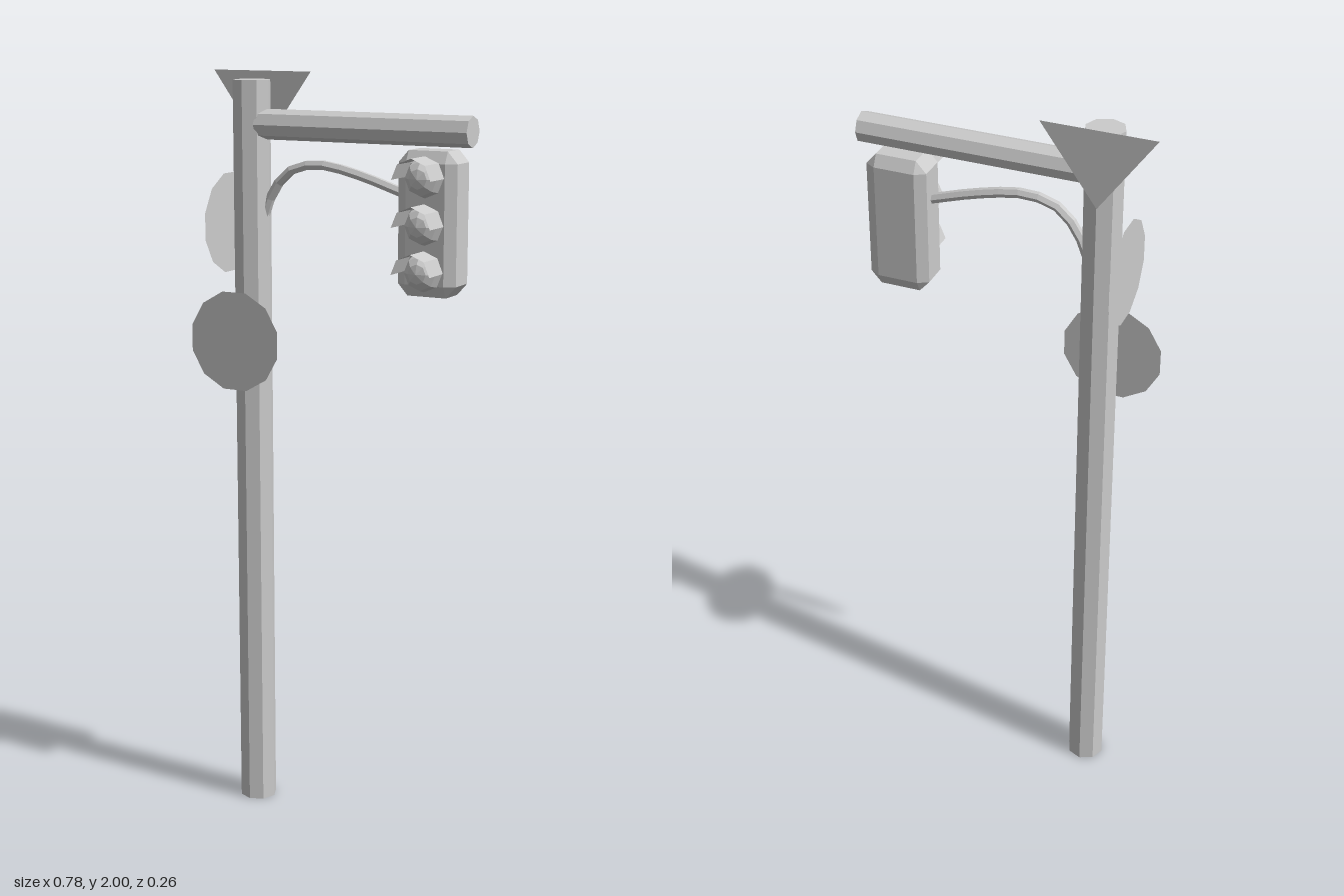
import * as THREE from 'three';
import { ConvexGeometry } from 'three/addons/geometries/ConvexGeometry.js';

const solid = new THREE.MeshStandardMaterial({ color: 0xcccccc, flatShading: true });
const thin = new THREE.MeshStandardMaterial({ color: 0xcccccc, flatShading: true, side: THREE.DoubleSide });

const POLE_X = -0.24;
const LAMP_X = 0.282;

function part(name, geometry, material, x = 0, y = 0, z = 0) {
  const mesh = new THREE.Mesh(geometry, material);
  mesh.name = name;
  mesh.position.set(x, y, z);
  return mesh;
}

// Box with every edge and corner chamfered: half sizes h, chamfer depths c
function chamferedBox(h, c) {
  const points = [];
  for (const sx of [-1, 1]) for (const sy of [-1, 1]) for (const sz of [-1, 1]) {
    for (let full = 0; full < 3; full++) {
      const p = h.map((v, i) => (i === full ? v : v - c[i]));
      points.push(new THREE.Vector3(sx * p[0], sy * p[1], sz * p[2]));
    }
  }
  return new ConvexGeometry(points);
}

// Three lenses, each a low dome under a half-round visor
function createLamp(y) {
  const lamp = new THREE.Group();
  lamp.name = 'lamp';
  lamp.position.set(LAMP_X, y, 0.05);

  const dome = new THREE.SphereGeometry(0.05, 8, 3, 0, Math.PI * 2, 0, Math.PI / 2);
  dome.rotateX(Math.PI / 2);
  lamp.add(part('lens', dome, solid));

  const visor = new THREE.CylinderGeometry(0.053, 0.053, 0.078, 4, 1, true, Math.PI / 2, Math.PI);
  visor.rotateX(Math.PI / 2);
  lamp.add(part('visor', visor, thin, 0, 0, 0.042));
  return lamp;
}

export function createModel() {
  const model = new THREE.Group();
  model.name = 'trafficLight';

  // Octagonal pole, closed at the top
  const profile = [[0.05, 0], [0.05, 1.98], [0, 1.98]].map(([r, y]) => new THREE.Vector2(r, y));
  model.add(part('pole', new THREE.LatheGeometry(profile, 8), solid, POLE_X));

  // Horizontal arm
  const arm = new THREE.CylinderGeometry(0.039, 0.039, 0.6, 8);
  arm.rotateZ(Math.PI / 2);
  model.add(part('arm', arm, solid, 0.088, 1.868, 0.004));

  // Curved brace from the pole to the signal housing
  const bend = new THREE.CatmullRomCurve3([
    [-0.205, 1.63], [-0.175, 1.7], [-0.12, 1.755], [-0.04, 1.77], [0.07, 1.75], [0.215, 1.705],
  ].map(([x, y]) => new THREE.Vector3(x, y, 0)));
  model.add(part('brace', new THREE.TubeGeometry(bend, 10, 0.013, 6), solid));

  // Signal head
  const signal = new THREE.Group();
  signal.name = 'signalHead';
  const housing = chamferedBox([0.08, 0.181, 0.05], [0.027, 0.03, 0.016]);
  signal.add(part('housing', housing, solid, LAMP_X, 1.64, 0));
  for (const y of [1.756, 1.639, 1.523]) signal.add(createLamp(y));
  model.add(signal);

  // Round signs, one in front of the pole and one on its outer side
  const disc = new THREE.CircleGeometry(0.134, 12, Math.PI / 12);
  model.add(part('frontSign', disc, thin, -0.244, 1.31, 0.095));
  const sideSign = part('sideSign', disc, thin, -0.306, 1.61, 0);
  sideSign.rotation.y = -Math.PI / 2;
  model.add(sideSign);

  // Triangular sign behind the pole top
  const triangle = new THREE.Shape([[-0.145, 0], [0, -0.2], [0.145, 0]].map(([x, y]) => new THREE.Vector2(x, y)));
  model.add(part('triangleSign', new THREE.ShapeGeometry(triangle), thin, -0.244, 2, -0.06));

  return model;
}
